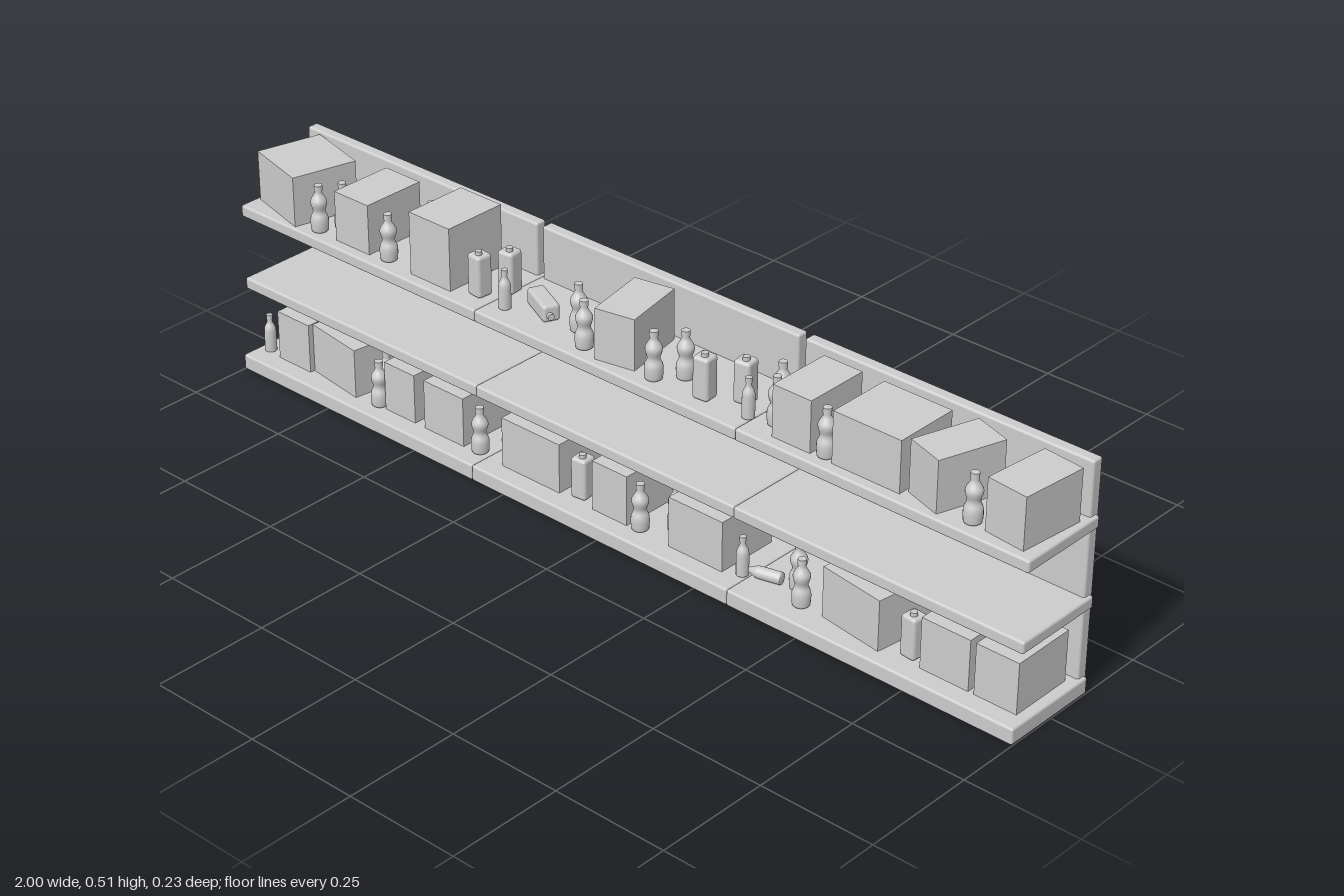
import * as THREE from 'three';
import { RoundedBoxGeometry } from 'three/addons/geometries/RoundedBoxGeometry.js';

const grey = new THREE.MeshStandardMaterial({ color: 0xcccccc });
const BASE_TOP = 0.035, TOP_SHELF = 0.376;

function add(parent, name, geometry, x, y, z) {
  const mesh = new THREE.Mesh(geometry, grey);
  mesh.name = name;
  mesh.position.set(x, y, z);
  parent.add(mesh);
  return mesh;
}

// Rounded slab given by its y and z limits
function slab(parent, name, x, width, y0, y1, z0, z1) {
  const geometry = new RoundedBoxGeometry(width, y1 - y0, z1 - z0, 3, 0.005);
  return add(parent, name, geometry, x, (y0 + y1) / 2, (z0 + z1) / 2);
}

// Smooth lathe from a few radius/height points
function turned(points) {
  const curve = new THREE.SplineCurve(points.map(([r, y]) => new THREE.Vector2(r, y)));
  const profile = curve.getPoints(28).map(p => new THREE.Vector2(Math.max(p.x, 0), p.y));
  return new THREE.LatheGeometry(profile, 20);
}

const waistedBody = turned([[0, 0], [0.015, 0.001], [0.018, 0.01], [0.018, 0.03], [0.0125, 0.045],
  [0.0165, 0.06], [0.016, 0.07], [0.008, 0.084], [0.007, 0.092], [0, 0.0925]]);
const slimBody = turned([[0, 0], [0.011, 0.001], [0.0125, 0.008], [0.0125, 0.045], [0.011, 0.056],
  [0.006, 0.067], [0.005, 0.076], [0, 0.0765]]);
const cartonBody = new RoundedBoxGeometry(0.036, 0.09, 0.036, 3, 0.007);
const cap = new THREE.CylinderGeometry(0.0085, 0.0085, 0.012, 16);
const slimCap = new THREE.CylinderGeometry(0.0065, 0.0065, 0.01, 16);
const cartonCap = new THREE.CylinderGeometry(0.007, 0.007, 0.008, 16);

function product(parent, name, x, y, z) {
  const group = new THREE.Group();
  group.name = name;
  group.position.set(x, y, z);
  parent.add(group);
  return group;
}

function bottle(parent, y, [x, z]) {
  const g = product(parent, 'bottle', x, y, z);
  add(g, 'bottleBody', waistedBody, 0, 0, 0);
  add(g, 'bottleCap', cap, 0, 0.096, 0);
  return g;
}

function slimBottle(parent, y, [x, z]) {
  const g = product(parent, 'slimBottle', x, y, z);
  add(g, 'slimBottleBody', slimBody, 0, 0, 0);
  add(g, 'slimBottleCap', slimCap, 0, 0.08, 0);
  return g;
}

function carton(parent, y, [x, z, turn = 0]) {
  const g = product(parent, 'carton', x, y, z);
  g.rotation.y = turn;
  add(g, 'cartonBody', cartonBody, 0, 0.045, 0);
  add(g, 'cartonCap', cartonCap, 0.003, 0.094, 0.004);
  return g;
}

function box(parent, y, [x, width, turn = 0, height = 0.109]) {
  const mesh = add(parent, 'box', new THREE.BoxGeometry(width, height, 0.144), x, y + height / 2, 0.002);
  mesh.rotation.y = turn;
}

export function createModel() {
  const model = new THREE.Group();
  model.name = 'stockedShelf';

  // Three shelving bays side by side
  for (const i of [-1, 0, 1]) {
    const bay = new THREE.Group();
    bay.name = 'shelfBay';
    bay.position.x = i * 2 / 3;
    model.add(bay);
    slab(bay, 'backPanel', 0, 0.652, 0, 0.49, -0.114, -0.088);
    slab(bay, 'baseShelf', 0, 0.667, 0, BASE_TOP, -0.107, 0.115);
    slab(bay, 'middleShelf', 0, 0.667, 0.183, 0.209, -0.107, 0.098);
    slab(bay, 'topShelf', 0, 0.667, 0.35, TOP_SHELF, -0.107, 0.098);
  }

  // Goods on the top shelf
  const top = new THREE.Group();
  top.name = 'topShelfGoods';
  model.add(top);
  [[-0.9, 0.148, -0.25], [-0.695, 0.095], [-0.475, 0.11, 0, 0.136], [0, 0.088, 0.19], [0.447, 0.09],
    [0.62, 0.155], [0.768, 0.086, -0.31], [0.935, 0.09, -0.1]].forEach(b => box(top, TOP_SHELF, b));
  [[-0.797, 0.067], [-0.77, 0.027], [-0.604, 0.061], [-0.577, -0.033], [-0.128, 0.019], [-0.075, 0.061],
    [0.102, 0.061], [0.144, 0.019], [0.353, -0.013], [0.38, 0.035], [0.519, 0.061], [0.85, 0.061]]
    .forEach(b => bottle(top, TOP_SHELF, b));
  [[-0.294, 0.051], [0.326, 0.051]].forEach(b => slimBottle(top, TOP_SHELF, b));
  [[-0.337, -0.008, 0.1], [-0.37, 0.042, -0.1], [0.283, 0.009, 0.15], [0.218, 0.049, 0.1]]
    .forEach(c => carton(top, TOP_SHELF, c));
  const fallen = carton(top, TOP_SHELF + 0.018, [-0.27, -0.008, -0.44]);
  fallen.rotation.z = -Math.PI / 2;

  // Goods on the base shelf
  const base = new THREE.Group();
  base.name = 'baseShelfGoods';
  model.add(base);
  [[-0.887, 0.093], [-0.757, 0.145, -0.14], [-0.575, 0.085], [-0.45, 0.11], [-0.21, 0.155], [0, 0.09],
    [0.22, 0.135], [0.607, 0.15, -0.14], [0.815, 0.11], [0.93, 0.095]].forEach(b => box(base, BASE_TOP, b));
  [[-0.657, 0.03], [-0.638, 0.07], [-0.357, 0.065], [0.072, 0.065], [0.125, 0.02], [0.43, 0.02],
    [0.47, 0.06]].forEach(b => bottle(base, BASE_TOP, b));
  [[-0.97, 0.065], [-0.953, 0.01], [0.322, 0.055]].forEach(b => slimBottle(base, BASE_TOP, b));
  [[-0.092, 0.05, 0.1], [0.725, 0.05, -0.1]].forEach(c => carton(base, BASE_TOP, c));
  const leaning = carton(base, BASE_TOP + 0.007, [-0.325, 0.01]);
  leaning.rotation.z = -0.4;
  const lying = slimBottle(base, BASE_TOP + 0.0125, [0.4, 0.03]);
  lying.rotation.set(0, 0.25, Math.PI / 2);

  return model;
}
